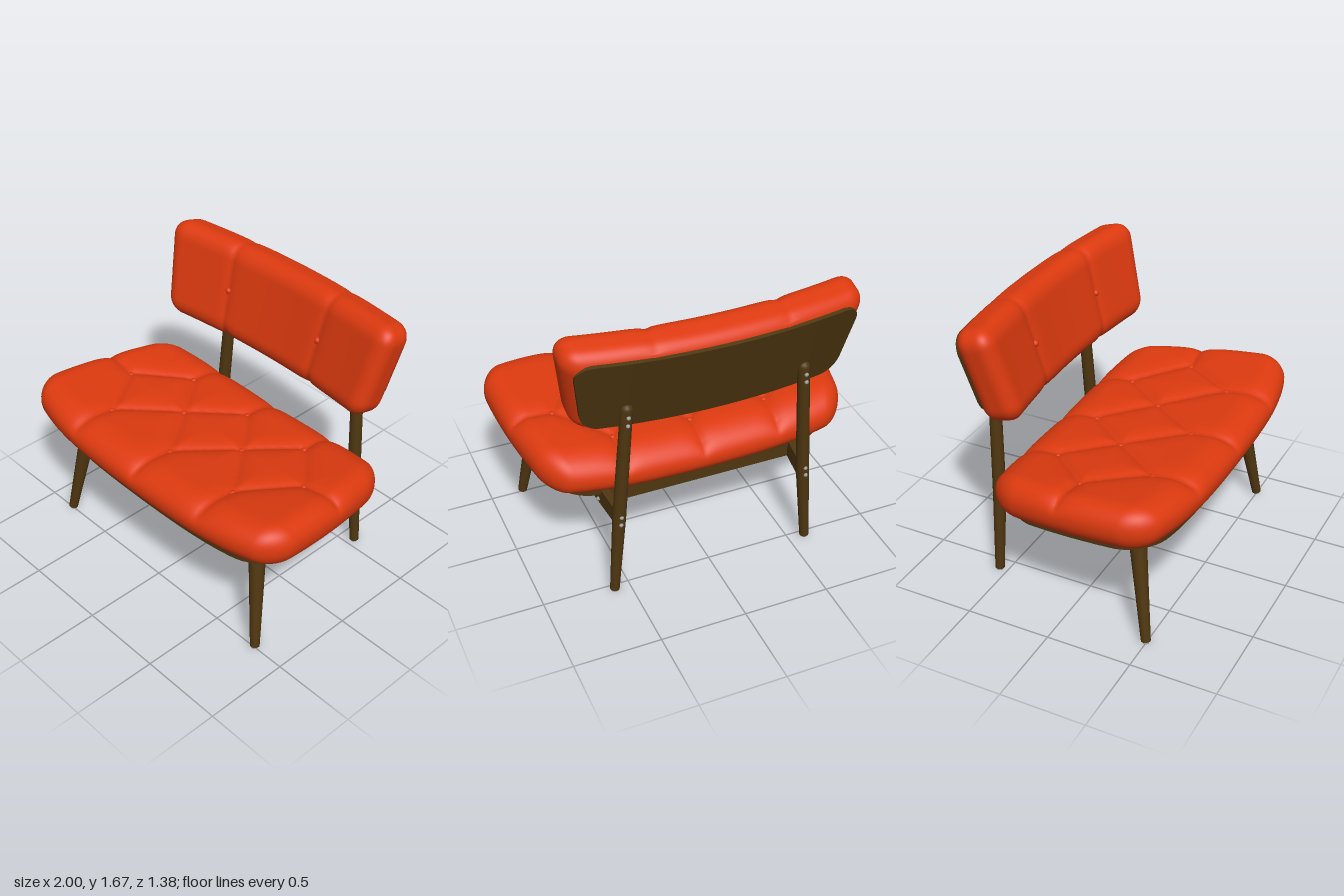
import * as THREE from 'three';
import { mergeVertices, toCreasedNormals } from 'three/addons/utils/BufferGeometryUtils.js';

const V = (x, y, z) => new THREE.Vector3(x, y, z);
const material = (name, color) => Object.assign(new THREE.MeshStandardMaterial({ color }), { name });

// Seat tufting: buttons and the seams between them, as [x, z] on the +x half
const seatButtons = [[0, 0.385], [0.5, 0.385], [0.24, 0.065], [0.715, 0.065], [0, -0.21], [0.46, -0.21]];
const seatSeams = [
  [0, 0.385, 0.24, 0.065], [0.5, 0.385, 0.24, 0.065], [0.5, 0.385, 0.715, 0.065],
  [0.24, 0.065, 0, -0.21], [0.24, 0.065, 0.46, -0.21], [0.715, 0.065, 0.46, -0.21],
  [0, 0.385, 0, 0.8], [0.5, 0.385, 0.51, 0.8], [0.715, 0.065, 1.1, 0.03],
  [0, -0.21, 0, -0.6], [0.46, -0.21, 0.45, -0.6],
];

function seamDistance(x, z) {
  let best = 9;
  for (const [ax, az, bx, bz] of seatSeams) {
    const dx = bx - ax, dz = bz - az;
    const t = THREE.MathUtils.clamp(((x - ax) * dx + (z - az) * dz) / (dx * dx + dz * dz), 0, 1);
    best = Math.min(best, Math.hypot(x - ax - t * dx, z - az - t * dz));
  }
  return best;
}

// Seat bending: bowed front and back, narrower rear, raised sides, backward tilt
function bendSeat(p) {
  let { x, y, z } = p;
  const x4 = Math.min(x ** 4, 1);
  z += 0.11 - x4 * (z > 0 ? 0.12 * z / 0.57 : 0.06 * z / 0.57);
  const t = Math.max(0, 0.45 - z);
  x *= 1 - 0.16 * t * t;
  if (y > 0) {
    const ax = Math.abs(x);
    let dip = 0.03 * Math.exp(-seamDistance(ax, z) / 0.045);
    for (const [bx, bz] of seatButtons) dip += 0.012 * Math.exp(-Math.hypot(ax - bx, z - bz) / 0.03);
    y -= dip * Math.min(1, y / 0.1);
  }
  return p.set(x, y + 0.765 + 0.095 * (z - 0.5) + 0.06 * x * x, z);
}

// Backrest bending: wider top, curved round the sitter, leaning back
function bendBack(p) {
  let { x, y, z } = p;
  const g = Math.exp(-Math.abs(Math.abs(x) - 0.35) / 0.03);
  if (z > 0) z -= 0.014 * g * Math.min(1, z / 0.08);
  if (z > -0.09) y *= 1 - 0.025 * g;
  x *= 1 + 0.19 * y;
  const c = Math.cos(0.28), s = Math.sin(0.28);
  return p.set(x, 1.37 + y * c + z * s + 0.02 * x * x, -0.51 + z * c - y * s + 0.12 * x * x);
}

// Rounded block with half sizes, a rounding radius per axis, and a bending rule
function softBlock(half, radius, segments, offset, rule, crease) {
  let geo = new THREE.BoxGeometry(half[0] * 2, half[1] * 2, half[2] * 2, ...segments);
  geo.deleteAttribute('uv');
  geo.deleteAttribute('normal');
  geo = mergeVertices(geo, 1e-5);
  const pos = geo.attributes.position;
  for (let i = 0; i < pos.count; i++) {
    const p = [pos.getX(i), pos.getY(i), pos.getZ(i)];
    const core = p.map((v, k) => radius[k] ? THREE.MathUtils.clamp(v, radius[k] - half[k], half[k] - radius[k]) : v);
    const q = p.map((v, k) => radius[k] ? (v - core[k]) / radius[k] : 0);
    const len = Math.hypot(...q);
    const f = len > 1e-6 ? Math.max(...q.map(Math.abs)) / len : 0;
    const r = core.map((v, k) => v + q[k] * radius[k] * f);
    const b = rule(V(...r).add(offset));
    pos.setXYZ(i, b.x, b.y, b.z);
  }
  if (crease) return toCreasedNormals(geo, 0.7);
  geo.computeVertexNormals();
  return geo;
}

export function createModel() {
  const red = material('red upholstery', 0xdd3a0f);
  const wood = material('dark wood', 0x4e3610);
  const metal = material('grey metal', 0x9c9c9c);
  const model = new THREE.Group();
  model.name = 'lounge chair';

  const add = (name, geo, mat, parent = model) => {
    const mesh = new THREE.Mesh(geo, mat);
    mesh.name = name;
    parent.add(mesh);
    return mesh;
  };
  // Tapered round bar from a to b
  const bar = (name, a, b, ra, rb, mat, parent) => {
    const mesh = add(name, new THREE.CylinderGeometry(rb, ra, a.distanceTo(b), 24), mat, parent);
    mesh.position.copy(a).lerp(b, 0.5);
    mesh.quaternion.setFromUnitVectors(V(0, 1, 0), b.clone().sub(a).normalize());
  };
  // Rectangular rail from a to b
  const rail = (name, a, b, height, thick, parent) => {
    const mesh = add(name, new THREE.BoxGeometry(thick, height, a.distanceTo(b)), wood, parent);
    mesh.position.copy(a).lerp(b, 0.5);
    mesh.lookAt(b);
  };
  const ball = (name, at, r, mat, parent) => {
    const mesh = add(name, new THREE.SphereGeometry(r, 14, 10), mat, parent);
    mesh.position.copy(at);
    return mesh;
  };

  // Upholstery and its backing panels
  add('seatCushion', softBlock([1, 0.13, 0.57], [0.14, 0.125, 0.19], [120, 14, 80], V(0, 0, 0), bendSeat), red);
  add('seatBase', softBlock([0.91, 0.02, 0.49], [0.2, 0, 0.2], [48, 1, 30], V(0, -0.128, 0), bendSeat, true), wood);
  add('basePatch', softBlock([0.37, 0.003, 0.19], [0, 0, 0], [16, 1, 8], V(0, -0.15, -0.11), bendSeat, true), metal);
  add('backCushion', softBlock([0.81, 0.281, 0.12], [0.1, 0.1, 0.09], [110, 36, 16], V(0, 0, 0), bendBack), red);
  add('backPanel', softBlock([0.765, 0.238, 0.02], [0.1, 0.1, 0], [48, 20, 1], V(0, 0, -0.106), bendBack, true), wood);

  // Tufting buttons
  const buttons = new THREE.Group();
  buttons.name = 'buttons';
  model.add(buttons);
  for (const s of [-1, 1]) {
    for (const [x, z] of seatButtons) {
      if (x === 0 && s < 0) continue;
      const at = V(s * x, 0.13 - 0.039 + 0.765 + 0.095 * (z - 0.5) + 0.06 * x * x, z);
      ball('seatButton', at, 0.018, red, buttons).scale.y = 0.7;
    }
    ball('backButton', bendBack(V(s * 0.35, 0, 0.122)), 0.019, red, buttons);
  }

  // Cross rails
  rail('frontRail', V(-0.655, 0.588, 0.28), V(0.655, 0.588, 0.28), 0.105, 0.045);
  rail('rearRail', V(-0.57, 0.53, -0.34), V(0.57, 0.53, -0.34), 0.105, 0.045);

  // Legs, side rails and bolts on each side
  for (const s of [-1, 1]) {
    const side = new THREE.Group();
    side.name = s > 0 ? 'leftFrame' : 'rightFrame';
    model.add(side);
    const P = (x, y, z) => V(s * x, y, z);

    bar('frontLeg', P(0.805, 0.014, 0.5), P(0.708, 0.655, 0.397), 0.027, 0.05, wood, side);
    bar('frontGlide', P(0.806, 0, 0.502), P(0.804, 0.015, 0.5), 0.017, 0.017, metal, side);

    const knee = P(0.555, 0.52, -0.543), top = P(0.506, 1.235, -0.568);
    bar('lowerBackLeg', P(0.595, 0.014, -0.545), knee, 0.027, 0.038, wood, side);
    bar('upperBackLeg', knee, top, 0.038, 0.034, wood, side);
    ball('backLegTip', top, 0.034, wood, side);
    bar('backGlide', P(0.596, 0, -0.545), P(0.595, 0.015, -0.545), 0.017, 0.017, metal, side);

    rail('sideRail', P(0.657, 0.597, 0.38), P(0.552, 0.516, -0.54), 0.105, 0.045, side);

    const bolts = [
      [0.67, 0.56, 0.275], [0.67, 0.61, 0.275], [0.6, 0.507, -0.34], [0.6, 0.557, -0.345],
      [0.725, 0.585, 0.455], [0.72, 0.63, 0.448],
      [0.558, 0.49, -0.58], [0.554, 0.54, -0.58], [0.512, 1.15, -0.599], [0.508, 1.2, -0.601],
    ];
    for (const b of bolts) ball('bolt', P(...b), 0.012, metal, side);
  }
  return model;
}
